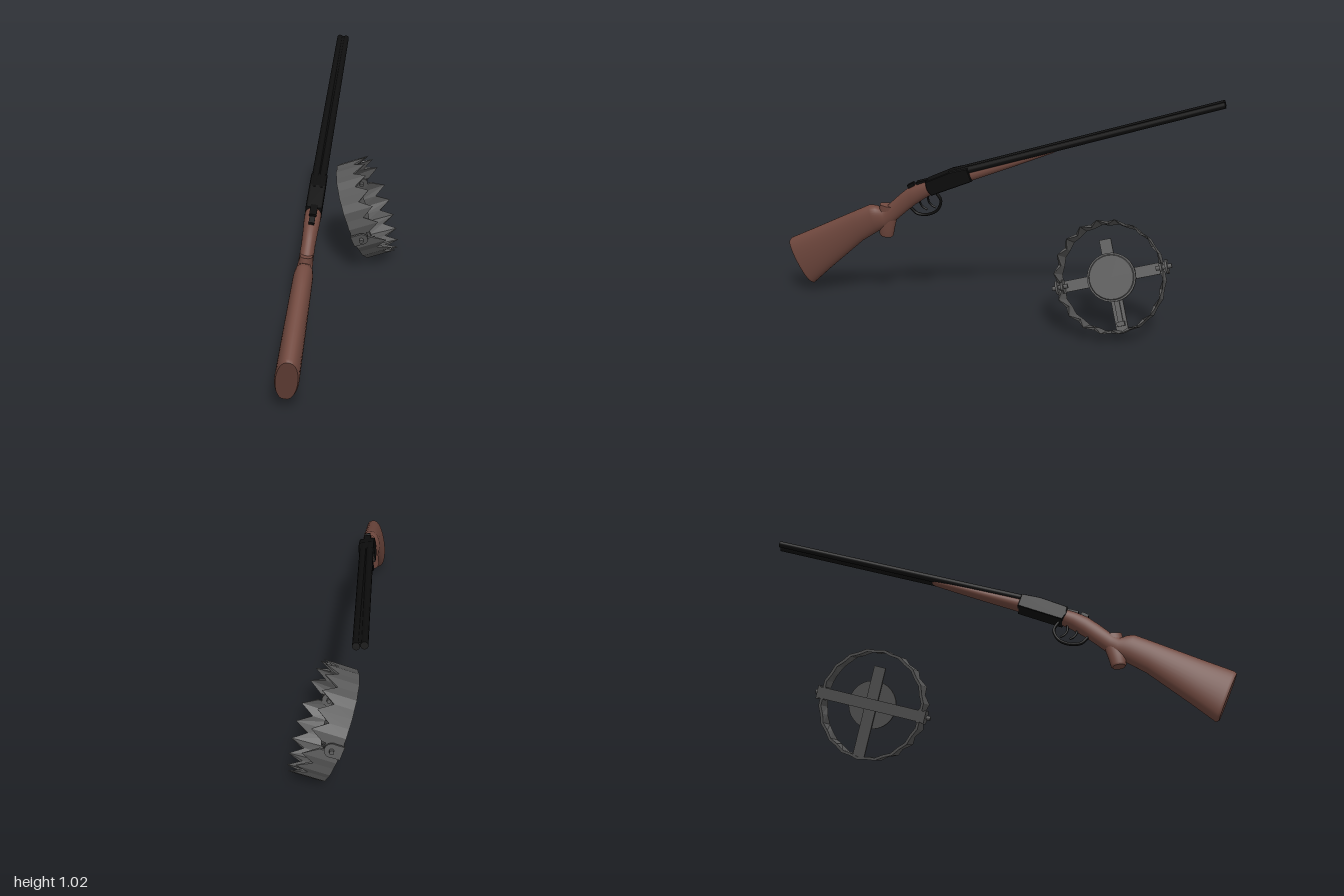
import * as THREE from 'three';

const wood = new THREE.MeshStandardMaterial({ color: 0x70483e });
wood.name = 'brown wood';
const black = new THREE.MeshStandardMaterial({ color: 0x0d0d0d });
black.name = 'black metal';
const steel = new THREE.MeshStandardMaterial({ color: 0x575757 });
steel.name = 'grey steel';
const steelBand = steel;

function add(parent, name, geo, mat, x = 0, y = 0, z = 0) {
  const m = new THREE.Mesh(geo, mat);
  m.name = name;
  m.position.set(x, y, z);
  parent.add(m);
  return m;
}

// Smooth body through oval sections: [x, top, bottom, halfWidth, slant]
function loft(rows, n = 24) {
  const pos = [], idx = [];
  const ring = ([x, top, bot, hw, slant = 0]) => {
    for (let j = 0; j < n; j++) {
      const t = (j / n) * Math.PI * 2, c = Math.cos(t), s = Math.sin(t);
      const z = Math.sign(s) * Math.pow(Math.abs(s), 0.8) * hw;
      pos.push(x + slant * c, (top + bot) / 2 + ((top - bot) / 2) * c, z);
    }
  };
  rows.forEach(ring);
  for (let i = 0; i < rows.length - 1; i++) {
    for (let j = 0; j < n; j++) {
      const a = i * n + j, b = i * n + ((j + 1) % n), c = a + n, d = b + n;
      idx.push(a, b, c, b, d, c);
    }
  }
  // end caps with their own corners, so the rims stay sharp
  for (const [row, flip] of [[rows[0], true], [rows[rows.length - 1], false]]) {
    const o = pos.length / 3;
    ring(row);
    for (let j = 1; j < n - 1; j++) idx.push(o, o + (flip ? j + 1 : j), o + (flip ? j : j + 1));
  }
  const g = new THREE.BufferGeometry();
  g.setAttribute('position', new THREE.Float32BufferAttribute(pos, 3));
  g.setIndex(idx);
  g.computeVertexNormals();
  return g;
}

function tube(points, r) {
  const curve = new THREE.CatmullRomCurve3(points.map(([x, y]) => new THREE.Vector3(x, y, 0)));
  return new THREE.TubeGeometry(curve, 28, r, 8);
}

// Gun frame: x runs back from the muzzle, y is up from the barrels, z is across
function buildGun() {
  const gun = new THREE.Group();
  gun.name = 'shotgun';

  for (const side of [-1, 1]) {
    const g = new THREE.CylinderGeometry(0.0142, 0.0172, 1.26, 16);
    const b = add(gun, 'barrel', g, black, 0.63, 0, side * 0.0148);
    b.rotation.z = Math.PI / 2;
  }
  add(gun, 'barrelRib', new THREE.BoxGeometry(1.25, 0.016, 0.016), black, 0.63, 0.003);

  // receiver block
  const s = new THREE.Shape();
  [[1.165, 0.013], [1.165, -0.054], [1.372, -0.073], [1.385, -0.04], [1.378, -0.001], [1.25, 0.016]]
    .forEach(([x, y], i) => (i ? s.lineTo(x, y) : s.moveTo(x, y)));
  const rec = new THREE.ExtrudeGeometry(s, {
    depth: 0.054, bevelEnabled: true, bevelSize: 0.004, bevelThickness: 0.008, bevelOffset: -0.004, bevelSegments: 2,
  });
  add(gun, 'receiver', rec, black, 0, 0, -0.027);
  add(gun, 'tang', new THREE.BoxGeometry(0.065, 0.016, 0.03), black, 1.395, -0.007);
  const lever = add(gun, 'topLever', new THREE.BoxGeometry(0.034, 0.02, 0.024), black, 1.457, -0.01);
  lever.rotation.z = -0.2;

  add(gun, 'forend', loft([
    [0.752, -0.006, -0.016, 0.008], [0.765, -0.004, -0.022, 0.017], [0.85, -0.002, -0.03, 0.022],
    [1.0, 0, -0.043, 0.026], [1.17, 0, -0.056, 0.029]]), wood);

  add(gun, 'stock', loft([
    [1.362, -0.004, -0.07, 0.034], [1.42, -0.007, -0.086, 0.034], [1.474, -0.017, -0.104, 0.031],
    [1.53, -0.04, -0.128, 0.029], [1.6, -0.074, -0.16, 0.03], [1.636, -0.084, -0.174, 0.034],
    [1.662, -0.064, -0.18, 0.038], [1.69, -0.053, -0.186, 0.04], [1.78, -0.066, -0.212, 0.042],
    [2.0, -0.1, -0.31, 0.046, 0.006], [2.12, -0.118, -0.365, 0.048, 0.013],
    [2.132, -0.126, -0.357, 0.043, 0.013]], 32), wood);
  const grip = add(gun, 'pistolGrip', loft([
    [0, 0.04, -0.05, 0.026], [0.06, 0.042, -0.045, 0.029], [0.11, 0.036, -0.037, 0.028],
    [0.15, 0.033, -0.033, 0.026], [0.158, 0.027, -0.027, 0.021]]), wood, 1.6, -0.075);
  grip.rotation.z = -1.15;

  // guard loop and its two triggers
  const guard = add(gun, 'triggerGuard', tube([[1.358, -0.065], [1.348, -0.115], [1.38, -0.155], [1.43, -0.165],
    [1.48, -0.147], [1.502, -0.105]], 0.0065), black);
  guard.scale.z = 1.5;
  for (const x of [1.395, 1.437]) {
    add(gun, 'trigger', tube([[x, -0.07], [x + 0.01, -0.1], [x + 0.004, -0.125], [x - 0.012, -0.142]], 0.005), black);
  }
  return gun;
}

// Half ring of sharp teeth; local y is the tooth direction
function jawGeometry(side, teeth = 9) {
  const pos = [], R = 0.247, T = 0.012, low = -0.036;
  const quad = (a, b, c, d) => [a, b, c, a, c, d].forEach((p) => pos.push(...p));
  const section = (i) => {
    const t = 0.07 + (i / (2 * teeth)) * (Math.PI - 0.14);
    const tip = i % 2 === 1, top = tip ? 0.112 : 0.05;
    const at = (r, y) => [r * 0.95 * Math.cos(t), y, side * r * Math.sin(t)];
    const r = tip ? R : R - 0.006;
    return [at(r, low), at(r, top), at(tip ? r - 0.002 : r - T, top), at(r - T, low)];
  };
  for (let i = 0; i < 2 * teeth; i++) {
    const a = section(i), b = section(i + 1);
    for (let k = 0; k < 4; k++) {
      const m = (k + 1) % 4;
      if (side > 0) quad(a[k], a[m], b[m], b[k]);
      else quad(a[k], b[k], b[m], a[m]);
    }
  }
  const a = section(0), b = section(2 * teeth);
  if (side > 0) { quad(a[3], a[2], a[1], a[0]); quad(...b); }
  else { quad(...a); quad(b[3], b[2], b[1], b[0]); }
  const g = new THREE.BufferGeometry();
  g.setAttribute('position', new THREE.Float32BufferAttribute(pos, 3));
  g.computeVertexNormals();
  return g;
}

// Trap frame: x is the hinge line, y the tooth direction, z runs to the lower jaw
function buildTrap() {
  const trap = new THREE.Group();
  trap.name = 'jawTrap';
  for (const side of [-1, 1]) add(trap, side > 0 ? 'lowerJaw' : 'upperJaw', jawGeometry(side), steelBand);

  add(trap, 'hingeBar', new THREE.BoxGeometry(0.49, 0.012, 0.05), steel, 0, -0.034);
  add(trap, 'crossBar', new THREE.BoxGeometry(0.052, 0.012, 0.41), steel, 0, -0.026, 0.035);
  add(trap, 'triggerArm', new THREE.BoxGeometry(0.022, 0.016, 0.13), steel, 0, -0.014, 0.15);
  add(trap, 'armPost', new THREE.BoxGeometry(0.034, 0.03, 0.02), steel, 0, -0.01, 0.205);
  add(trap, 'panPost', new THREE.CylinderGeometry(0.025, 0.025, 0.03, 12), steel, 0, -0.015);
  add(trap, 'pan', new THREE.CylinderGeometry(0.107, 0.107, 0.014, 28), steel, 0, 0.002);
  add(trap, 'panTop', new THREE.CylinderGeometry(0.096, 0.1, 0.005, 28), steel, 0, 0.011);

  // rounded lugs on both sides of each hinge
  for (const side of [-1, 1]) {
    for (const x of [0.219, 0.243]) {
      const lug = add(trap, 'hingeLug', new THREE.CylinderGeometry(0.031, 0.031, 0.01, 16), steel, side * x, 0.006);
      lug.rotation.z = Math.PI / 2;
      add(trap, 'lugFoot', new THREE.BoxGeometry(0.01, 0.045, 0.06), steel, side * x, -0.017);
    }
    const pin = add(trap, 'hingePin', new THREE.CylinderGeometry(0.01, 0.01, 0.07, 10), steel, side * 0.231, 0.006);
    pin.rotation.z = Math.PI / 2;
  }
  return trap;
}

// Places a group with its x and y axes along the given directions
function place(group, xDir, yDir, origin) {
  const x = new THREE.Vector3(...xDir).normalize();
  const z = x.clone().cross(new THREE.Vector3(...yDir)).normalize();
  const y = z.clone().cross(x);
  group.quaternion.setFromRotationMatrix(new THREE.Matrix4().makeBasis(x, y, z));
  group.position.set(...origin);
  return group;
}

export function createModel() {
  const model = new THREE.Group();
  model.name = 'shotgunAndTrap';
  model.add(place(buildGun(), [-0.1575, -0.294, 0.943], [0.089, 0.946, 0.31], [0.0875, 1.012, -0.994]));
  model.add(place(buildTrap(), [0.087, 0.26, -0.962], [0.925, 0.335, 0.174], [0.14, 0.253, -0.54]));
  return model;
}
